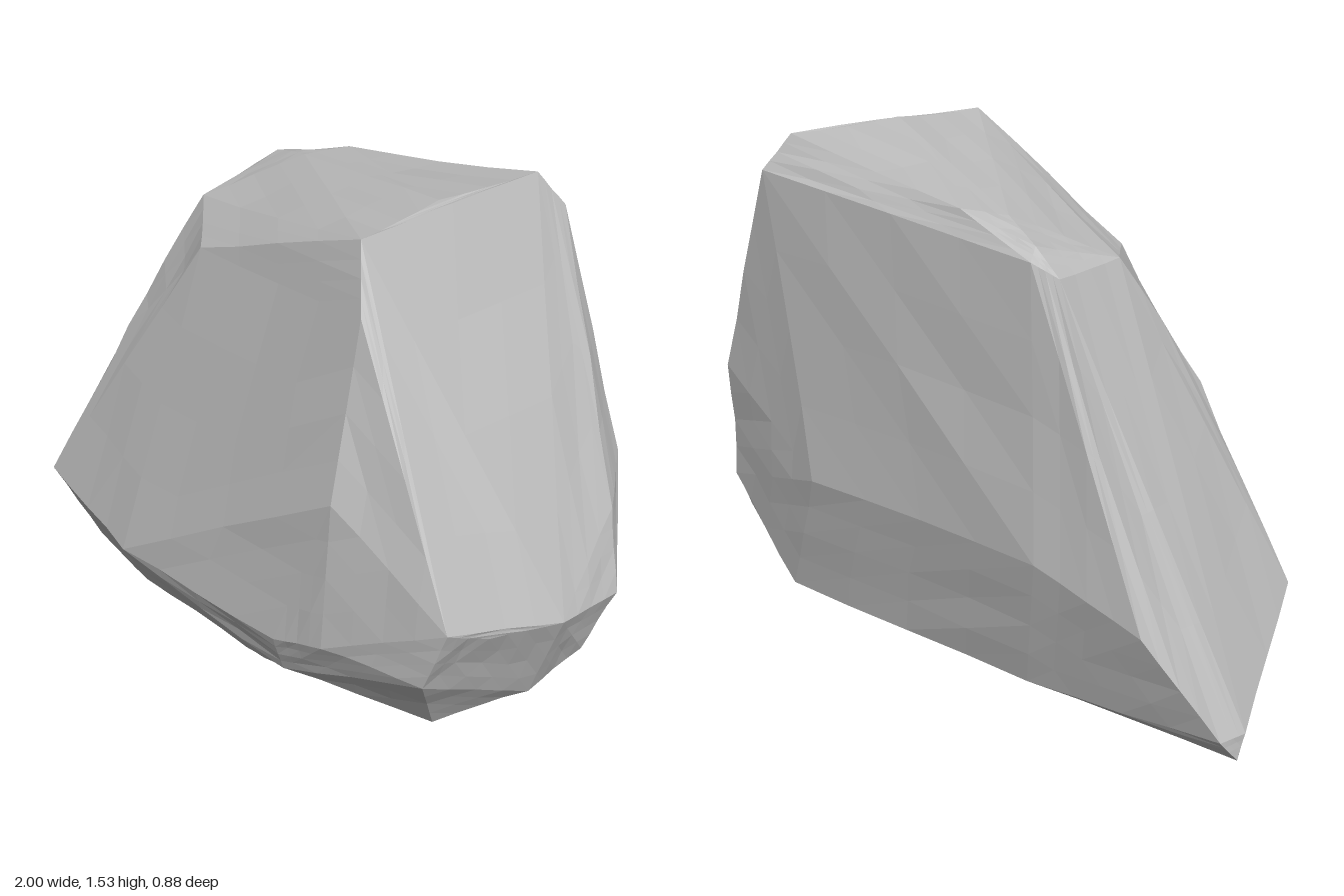
import * as THREE from 'three';
import { ConvexGeometry } from 'three/addons/geometries/ConvexGeometry.js';

// Corners of the boulder, grouped by the plane they bound
const CORNERS = [
  // crown
  [0.36, 1.51, 0.235], [0.54, 1.535, -0.37], [0.42, 1.535, -0.05], [0.6, 1.43, -0.43],
  [-0.1, 1.45, -0.385], [-0.2, 1.43, -0.3], [-0.34, 1.39, -0.36], [-0.43, 1.32, -0.37],
  [-0.43, 1.31, -0.11], [-0.28, 1.26, 0.1], [-0.36, 1.36, -0.405],
  // left slope
  [-0.57, 0.92, 0.09], [-0.85, 0.36, 0.15], [-1, 0.12, -0.27], [-0.99, 0.04, -0.29],
  [-0.96, 0.1, -0.33], [-0.75, 0.38, -0.415],
  // front face and its lower edge
  [-0.45, 0.28, 0.3], [0.2, 0.28, 0.42], [0.38, 0.33, 0.44], [0.4, 0.8, 0.425],
  [0.41, 1.32, 0.305], [0.78, 0.52, 0.42], [0.7, 0.31, 0.41],
  // right slope and the chamfer below it
  [0.84, 0.47, 0.3], [1, 0.45, -0.13], [0.96, 0.46, 0.1], [0.93, 0.67, -0.2],
  [0.85, 0.75, -0.37], [0.94, 0.28, -0.05], [0.85, 0.17, 0.08], [0.89, 0.36, -0.32],
  [0.84, 0.27, -0.31],
  // back face
  [-0.4, 0.5, -0.44], [0.45, 0.5, -0.43], [0.63, 0.07, -0.34], [-0.3, 0.06, -0.345],
  // underside
  [0.73, 0.05, -0.05], [0.65, 0.09, 0.27], [0.2, 0.15, 0.37], [0, 0.09, 0.28],
  [-0.42, 0, -0.05], [-0.5, 0.06, 0.13], [-0.75, 0.1, 0.05],
].map((p) => new THREE.Vector3(...p));

// Repeatable value in -1..1 from a position, so shared points move together
function noise(v) {
  const s = Math.sin(Math.round(v.x * 1000) * 12.99 + Math.round(v.y * 1000) * 78.23
    + Math.round(v.z * 1000) * 37.72) * 43758.55;
  return (s - Math.floor(s)) * 2 - 1;
}

// Split triangles in four and nudge the new points for a chipped surface
function chip(triangles, amount) {
  const middle = (a, b) => {
    const m = a.clone().add(b).multiplyScalar(0.5);
    const size = Math.min(amount, a.distanceTo(b) * 0.02);
    const out = new THREE.Vector3(m.x, m.y - 0.7, m.z * 2).normalize();
    return m.addScaledVector(out, (noise(m) - 0.3) * size);
  };
  return triangles.flatMap(([a, b, c]) => {
    const ab = middle(a, b), bc = middle(b, c), ca = middle(c, a);
    return [[a, ab, ca], [ab, b, bc], [ca, bc, c], [ab, bc, ca]];
  });
}

export function createModel() {
  const stone = new THREE.MeshStandardMaterial({ color: 0xbcbcbc });
  stone.name = 'light grey stone';

  const hull = new ConvexGeometry(CORNERS).getAttribute('position');
  let triangles = [];
  for (let i = 0; i < hull.count; i += 3) {
    triangles.push([0, 1, 2].map((k) => new THREE.Vector3().fromBufferAttribute(hull, i + k)));
  }
  triangles = chip(chip(triangles, 0.008), 0.004);

  // Separate corners per triangle keep every facet flat
  const geometry = new THREE.BufferGeometry().setFromPoints(triangles.flat());
  geometry.computeVertexNormals();

  const boulder = new THREE.Mesh(geometry, stone);
  boulder.name = 'boulder';
  const group = new THREE.Group();
  group.name = 'rock';
  group.add(boulder);
  return group;
}
